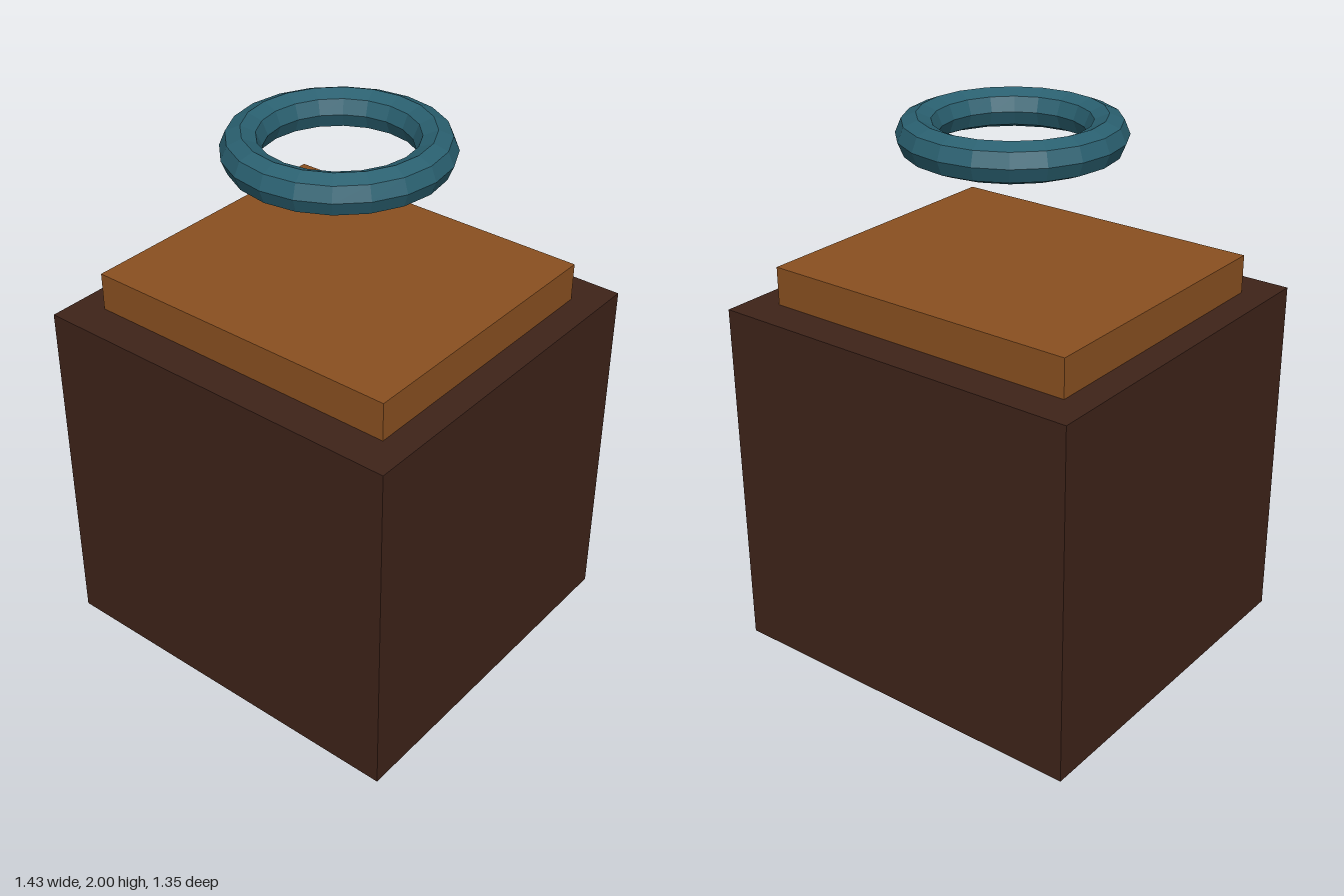
import * as THREE from 'three';

const HALF_TURN = Math.PI / 2;

export function createModel() {
  const model = new THREE.Group();

  const add = (name, geometry, color, y) => {
    const material = new THREE.MeshStandardMaterial({ color, flatShading: true });
    const mesh = new THREE.Mesh(geometry, material);
    mesh.name = name;
    mesh.position.y = y;
    model.add(mesh);
  };

  // Large block standing on the ground
  add('baseBlock', new THREE.BoxGeometry(1.435, 1.33, 1.35), 0x3e2319, 0.665);

  // Thin slab on top of the block
  add('topSlab', new THREE.BoxGeometry(1.22, 0.14, 1.075), 0x8a5020, 1.4);

  // Faceted ring floating level above the slab
  const ring = new THREE.TorusGeometry(0.323, 0.071, 8, 20).rotateX(HALF_TURN);
  add('floatingRing', ring, 0x2a6070, 1.929);

  return model;
}
